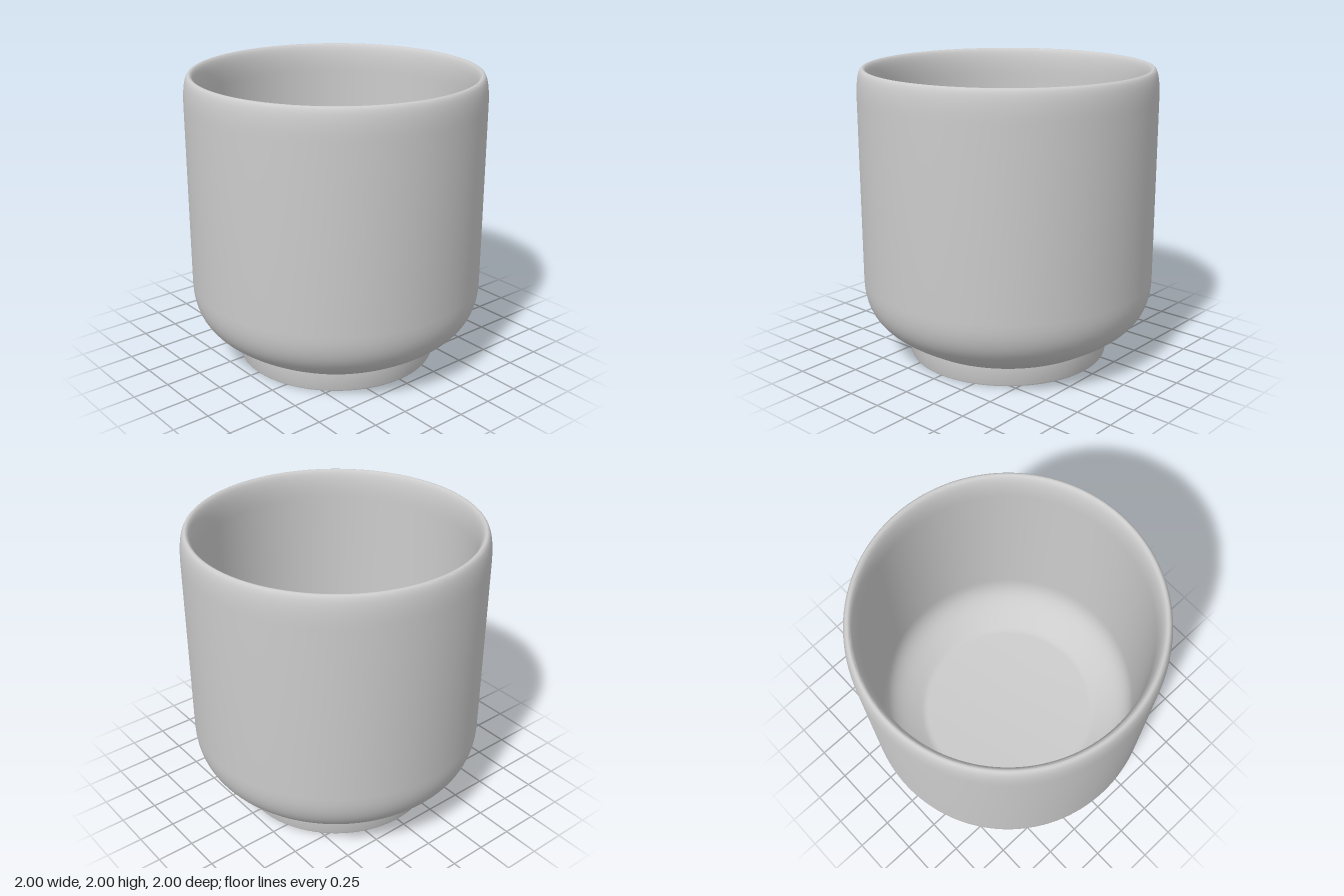
import * as THREE from 'three';
import { toCreasedNormals } from 'three/addons/utils/BufferGeometryUtils.js';

// Sample a cubic curve between two profile points (radius, height)
function curve(a, b, c, d, n = 14) {
  const v = (p) => new THREE.Vector2(p[0], p[1]);
  return new THREE.CubicBezierCurve(v(a), v(b), v(c), v(d)).getPoints(n);
}

// Spin a profile round the y axis, keeping sharp corners crisp
function spin(name, points, material) {
  const profile = points.map((p) => (p.isVector2 ? p : new THREE.Vector2(p[0], p[1])));
  const mesh = new THREE.Mesh(toCreasedNormals(new THREE.LatheGeometry(profile, 128), 0.6), material);
  mesh.name = name;
  return mesh;
}

export function createModel() {
  const group = new THREE.Group();
  group.name = 'cup';
  const material = new THREE.MeshStandardMaterial({ color: 0xcccccc });

  // Foot: short disc with a slightly eased lower edge
  group.add(spin('foot', [
    [0, 0], [0.675, 0], [0.685, 0.004], [0.69, 0.015], [0.69, 0.13],
  ], material));

  // Body: rounded shoulder, straight wall and soft rim, then the inside wall and floor
  group.add(spin('body', [
    ...curve([0.69, 0.13], [0.87, 0.235], [1, 0.31], [1, 0.56]),
    ...curve([1, 1.8], [1, 1.92], [0.985, 2], [0.957, 2], 10),
    ...curve([0.957, 2], [0.93, 2], [0.91, 1.92], [0.91, 1.8], 10).slice(1),
    ...curve([0.91, 0.56], [0.91, 0.38], [0.83, 0.32], [0.655, 0.215]),
    [0.635, 0.206], [0.61, 0.203], [0, 0.203],
  ], material));

  return group;
}
